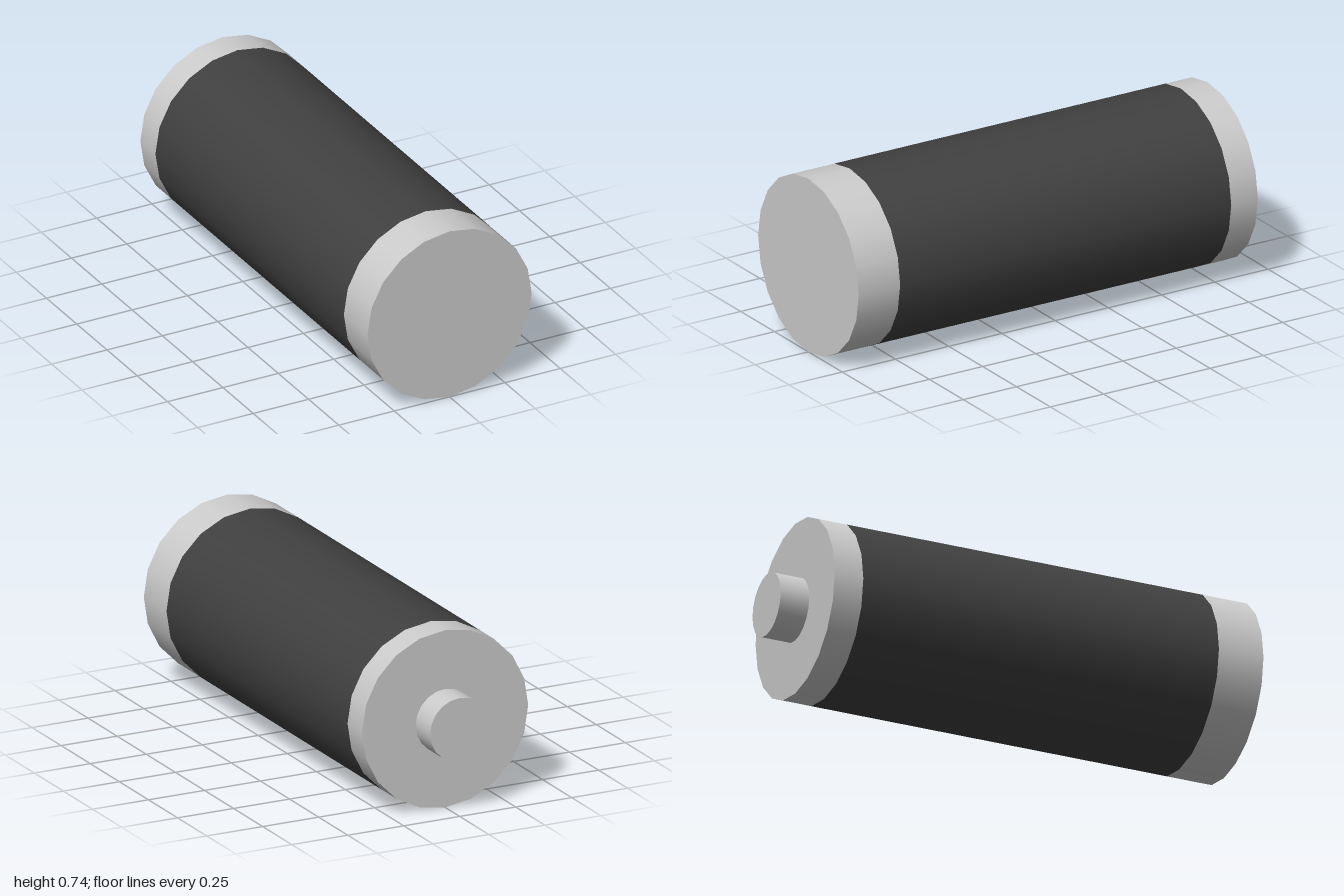
import * as THREE from 'three';

const SIDES = 20;
const RADIUS = 0.371;
const AXIS_Y = 0.373;

export function createModel() {
  const group = new THREE.Group();
  group.name = 'battery';
  const metal = new THREE.MeshStandardMaterial({ color: 0xcccccc });
  const dark = new THREE.MeshStandardMaterial({ color: 0x404040 });

  // Cylinder lying along z, from zBack to zFront
  function addSection(name, radius, zBack, zFront, y, material, open = false) {
    const geometry = new THREE.CylinderGeometry(radius, radius, zFront - zBack, SIDES, 1, open);
    geometry.rotateX(Math.PI / 2);
    const mesh = new THREE.Mesh(geometry, material);
    mesh.name = name;
    mesh.position.set(0, y, (zBack + zFront) / 2);
    group.add(mesh);
  }

  // Metal ends with the dark wrapper between them
  addSection('negativeEnd', RADIUS, 0.805, 1, AXIS_Y, metal);
  addSection('wrapper', RADIUS, -0.75, 0.805, AXIS_Y, dark, true);
  addSection('positiveEnd', RADIUS, -0.875, -0.75, AXIS_Y, metal);

  // Raised contact at the back, slightly below the body axis
  addSection('positiveTerminal', 0.132, -1, -0.875, 0.366, metal);

  return group;
}
